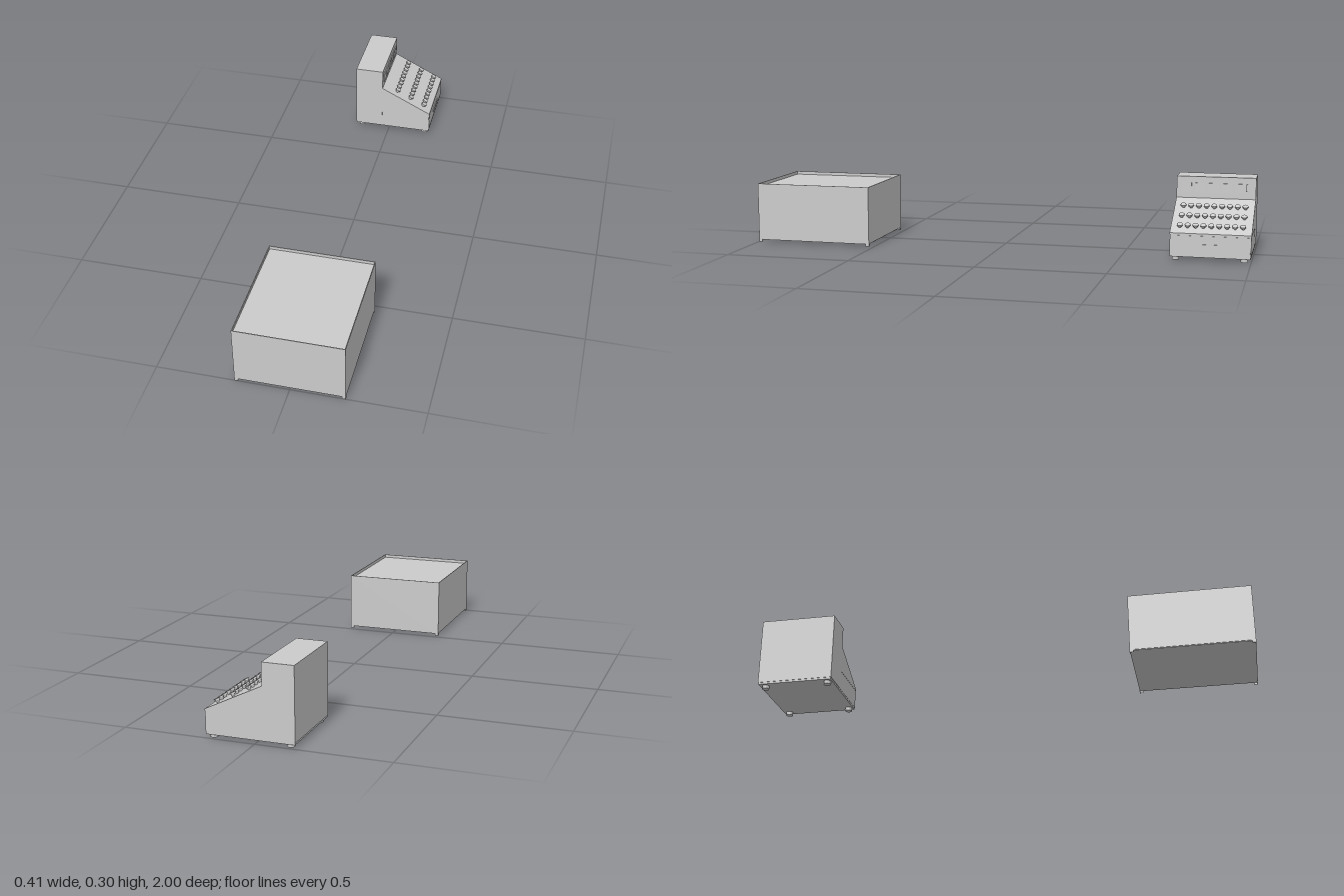
import * as THREE from 'three';

const mat = new THREE.MeshStandardMaterial({ color: 0xcccccc, flatShading: true });

function add(parent, name, geometry, x, y, z) {
  const mesh = new THREE.Mesh(geometry, mat);
  mesh.name = name;
  mesh.position.set(x, y, z);
  parent.add(mesh);
  return mesh;
}

// Box given by its limits on each axis
function box(parent, name, [x0, x1], [y0, y1], [z0, z1]) {
  return add(parent, name, new THREE.BoxGeometry(x1 - x0, y1 - y0, z1 - z0),
    (x0 + x1) / 2, (y0 + y1) / 2, (z0 + z1) / 2);
}

// Open crate: thin walls with corner feet, sunken top and raised floor
function createCabinet() {
  const g = new THREE.Group();
  g.name = 'cabinet';
  const hw = 0.205, z0 = 0.522, z1 = 1, h = 0.241, t = 0.003, foot = 0.014, gap = 0.01;

  // Wall outline with a shallow notch between the two feet
  const wall = (half) => {
    const s = new THREE.Shape([
      [-half, 0], [-half + foot, 0], [-half + foot, gap], [half - foot, gap],
      [half - foot, 0], [half, 0], [half, h], [-half, h],
    ].map(([x, y]) => new THREE.Vector2(x, y)));
    return new THREE.ExtrudeGeometry(s, { depth: t, bevelEnabled: false });
  };
  const zc = (z0 + z1) / 2, hd = (z1 - z0) / 2;
  add(g, 'frontWall', wall(hw), 0, 0, z1 - t);
  add(g, 'backWall', wall(hw), 0, 0, z0);
  add(g, 'leftWall', wall(hd), hw - t, 0, zc).rotation.y = Math.PI / 2;
  add(g, 'rightWall', wall(hd), -hw, 0, zc).rotation.y = Math.PI / 2;
  box(g, 'sunkenTop', [-hw + t, hw - t], [h - 0.02, h - 0.013], [z0 + t, z1 - t]);
  box(g, 'floor', [-hw + t, hw - t], [0.008, 0.014], [z0 + t, z1 - t]);
  return g;
}

// Cash register facing the cabinet's left side (+x)
function createRegister() {
  const g = new THREE.Group();
  g.name = 'register';
  const z0 = -1, z1 = -0.69, xb = -0.15, xm = -0.03, xf = 0.186;
  const slopeTop = 0.212, slopeLow = 0.106;

  box(g, 'basePlate', [xb + 0.002, xf - 0.002], [0.014, 0.024], [z0 + 0.002, z1 - 0.002]);
  box(g, 'tower', [xb, xm], [0.022, 0.297], [z0, z1]);
  box(g, 'drawerBody', [xm, xf - 0.002], [0.022, 0.1], [z0 + 0.001, z1 - 0.001]);
  box(g, 'drawerFront', [xf - 0.003, xf], [0.025, 0.097], [z0 + 0.004, z1 - 0.004]);
  box(g, 'drawerHandle', [xf - 0.001, xf + 0.003], [0.055, 0.065], [-0.893, -0.787]);

  // Sloped keyboard housing
  const wedge = new THREE.Shape([
    [xm, 0.1], [xf, 0.1], [xf, slopeLow], [xm, slopeTop],
  ].map(([x, y]) => new THREE.Vector2(x, y)));
  add(g, 'keyboardHousing',
    new THREE.ExtrudeGeometry(wedge, { depth: z1 - z0, bevelEnabled: false }), 0, 0, z0);

  // Three rows of nine keys standing on the slope
  const tilt = Math.atan2(slopeTop - slopeLow, xf - xm);
  const stem = new THREE.CylinderGeometry(0.009, 0.005, 0.01, 12);
  const cap = new THREE.CylinderGeometry(0.011, 0.011, 0.006, 12);
  for (const x of [0.03, 0.09, 0.15]) {
    const y = slopeTop - (x - xm) * Math.tan(tilt);
    for (let i = 0; i < 9; i++) {
      const key = new THREE.Group();
      key.name = 'key';
      key.position.set(x, y, -0.965 + i * 0.03);
      key.rotation.z = -tilt;
      add(key, 'keyStem', stem, 0, 0.004, 0);
      add(key, 'keyCap', cap, 0, 0.011, 0);
      g.add(key);
    }
  }

  // Row of display plates on the tower and a small slot bar
  for (let i = 0; i < 5; i++) {
    const z = -0.73 - i * 0.0525;
    box(g, 'displayPlate', [xm, xm + 0.004], [0.235, 0.272], [z - 0.019, z + 0.019]);
  }
  box(g, 'slotBar', [xm, xm + 0.006], [0.243, 0.272], [-0.967, -0.962]);

  // Round feet
  const foot = new THREE.CylinderGeometry(0.014, 0.014, 0.016, 16);
  for (const x of [-0.125, 0.164]) for (const z of [-0.712, -0.974]) add(g, 'foot', foot, x, 0.008, z);
  return g;
}

export function createModel() {
  const model = new THREE.Group();
  model.name = 'cabinetAndRegister';
  model.add(createCabinet(), createRegister());
  return model;
}
